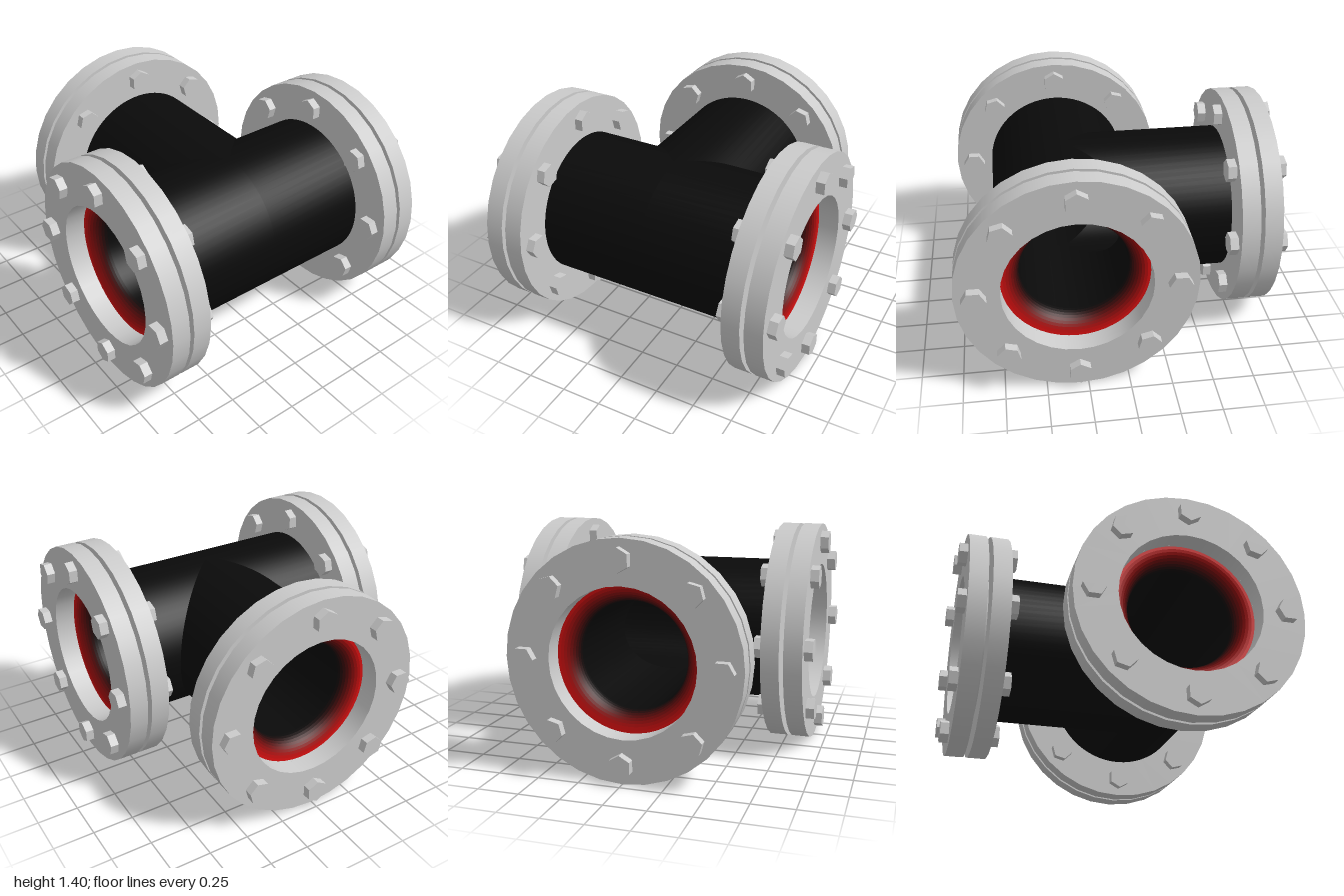
import * as THREE from 'three';

const GREY = new THREE.MeshStandardMaterial({ color: 0xcccccc });
const BOLT = new THREE.MeshStandardMaterial({ color: 0xcccccc, flatShading: true });
const BLACK = new THREE.MeshStandardMaterial({ color: 0x0a0a0a });

const R_OUT = 0.458, R_BORE = 0.322, R_HOLE = 0.437, R_FLANGE = 0.7;
const THICK = 0.112, GAP = 0.026, HEAD = 0.052;

const lathe = (pts, segments) =>
  new THREE.LatheGeometry(pts.map(p => new THREE.Vector2(...p)), segments);

function add(parent, name, geometry, material, y = 0) {
  const mesh = new THREE.Mesh(geometry, material);
  mesh.name = name;
  mesh.position.y = y;
  parent.add(mesh);
  return mesh;
}

// Flat ring with sharp edges (doubled points split the normals)
function ring(rIn, rOut, h, segments) {
  return lathe([[rIn, 0], [rOut, 0], [rOut, 0], [rOut, h], [rOut, h],
    [rIn, h], [rIn, h], [rIn, 0]], segments);
}

// Pipe wall whose lower end is mitred to meet the other arms
function mitredWall(pts, trim) {
  const g = lathe(pts, 64), p = g.attributes.position;
  for (let i = 0; i < p.count; i++) {
    if (p.getY(i) === 0) p.setY(i, trim(p.getX(i), p.getZ(i)));
  }
  return g;
}

// One arm along local +y; start is where its flange pair begins
function makeArm(name, start, trim) {
  const arm = new THREE.Group();
  arm.name = name;
  const lipBase = start + 0.008, lipSize = R_HOLE - R_BORE;

  add(arm, 'pipeWall', mitredWall([[R_OUT, 0], [R_OUT, start + THICK]], trim), BLACK);
  add(arm, 'pipeBore', mitredWall([[R_BORE, lipBase], [R_BORE, 0]], trim), BLACK);

  // Flared lip, fading from red at the rim to black in the bore
  const lip = new THREE.Group();
  lip.name = 'flaredLip';
  arm.add(lip);
  const bands = 10;
  const at = i => {
    const a = (i / bands) * Math.PI / 2;
    return [R_HOLE - lipSize * Math.cos(a), lipBase + lipSize * Math.sin(a)];
  };
  for (let i = 0; i < bands; i++) {
    const t = ((at(i)[0] + at(i + 1)[0]) / 2 - R_BORE) / lipSize;
    const color = new THREE.Color(0x0a0a0a).lerp(new THREE.Color(0xe01010), Math.pow(t, 1.5));
    add(lip, 'lipBand', lathe([at(i + 1), at(i)], 64), new THREE.MeshStandardMaterial({ color }));
  }

  // Flange pair with a gasket in the gap
  const outer = start + THICK + GAP;
  add(arm, 'innerFlange', ring(R_HOLE, R_FLANGE, THICK, 32), GREY, start);
  add(arm, 'gasket', ring(R_HOLE, 0.5, GAP, 48), GREY, start + THICK);
  add(arm, 'outerFlange', ring(R_HOLE, R_FLANGE, THICK, 32), GREY, outer);

  // Eight bolts: nut on the inside, head on the outside
  const hex = new THREE.CylinderGeometry(0.071, 0.071, HEAD, 6);
  for (let i = 0; i < 8; i++) {
    const a = i * Math.PI / 4;
    for (const [part, y] of [['nut', start - HEAD / 2], ['boltHead', outer + THICK + HEAD / 2]]) {
      const m = add(arm, part, hex, BOLT, y);
      m.position.x = 0.583 * Math.sin(a);
      m.position.z = 0.583 * Math.cos(a);
      m.rotation.y = a;
    }
  }
  return arm;
}

export function createModel() {
  const model = new THREE.Group();
  model.name = 'flangedPipeTee';
  const tee = new THREE.Group();
  tee.name = 'tee';
  tee.position.set(0.3, 0.702, 0);
  model.add(tee);

  // Straight run, front and back
  for (const [name, s] of [['frontArm', 1], ['backArm', -1]]) {
    const arm = makeArm(name, 0.668, x => Math.max(0, -x));
    arm.rotation.x = s * Math.PI / 2;
    tee.add(arm);
  }
  // Side branch toward -x
  const branch = makeArm('branchArm', 0.998, (x, z) => Math.abs(z));
  branch.rotation.z = Math.PI / 2;
  tee.add(branch);
  return model;
}
